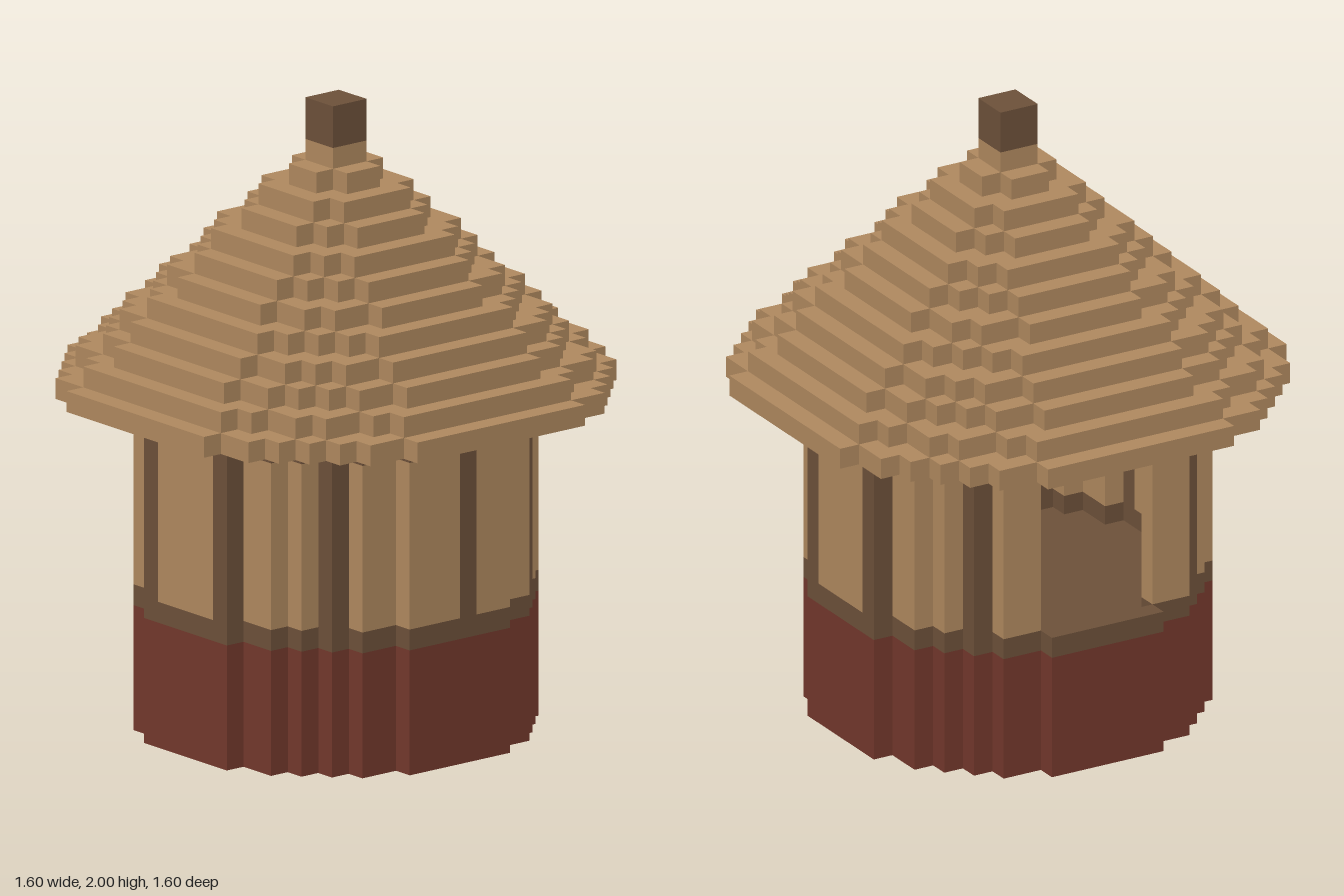
import * as THREE from 'three';
import { mergeGeometries } from 'three/addons/utils/BufferGeometryUtils.js';

const U = 1 / 15; // one block
const material = (name, color) => {
  const m = new THREE.MeshStandardMaterial({ color });
  m.name = name;
  return m;
};

// Stepped outline of a circle drawn in blocks
function discPoints(radius) {
  const quarter = [];
  for (let j = 0; j + 0.5 < radius; j++) {
    const half = Math.floor(Math.sqrt(radius * radius - (j + 0.5) ** 2) + 0.5);
    if (half < 1) break;
    quarter.push([half, j], [half, j + 1]);
  }
  quarter.push([0, quarter[quarter.length - 1][1]]);
  const points = [];
  for (const [sx, sy] of [[1, 1], [-1, 1], [-1, -1], [1, -1]]) {
    const part = quarter.map(([x, y]) => new THREE.Vector2(x * sx * U, y * sy * U));
    if (sx * sy < 0) part.reverse();
    points.push(...part);
  }
  // Drop repeated and collinear points
  const unique = points.filter((p, i) => p.distanceTo(points[(i + 1) % points.length]) > 1e-6);
  return unique.filter((p, i) => {
    const a = unique[(i + unique.length - 1) % unique.length];
    const b = unique[(i + 1) % unique.length];
    return Math.abs((p.x - a.x) * (b.y - p.y) - (p.y - a.y) * (b.x - p.x)) > 1e-8;
  });
}

// Stepped disc or ring, y and height in blocks
function disc(radius, inner, y, height) {
  const shape = new THREE.Shape(discPoints(radius));
  if (inner > 0.75) shape.holes.push(new THREE.Path(discPoints(inner).reverse()));
  return new THREE.ExtrudeGeometry(shape, { depth: height * U, bevelEnabled: false })
    .rotateX(-Math.PI / 2).translate(0, y * U, 0);
}

// Block columns of the round wall that pass a test
function wall(y, height, test) {
  const columns = [];
  for (let x = -8.5; x < 9; x++) {
    for (let z = -8.5; z < 9; z++) {
      const d = x * x + z * z;
      if (d <= 81 && d > 64 && test(x, z)) {
        columns.push(new THREE.BoxGeometry(U, height * U, U)
          .translate(x * U, (y + height / 2) * U, z * U));
      }
    }
  }
  return mergeGeometries(columns);
}

export function createModel() {
  const group = new THREE.Group();
  const tan = material('tan', 0xb0895f);
  const brown = material('brown', 0x6d513a);
  const red = material('brickRed', 0x73382c);
  const add = (name, geometry, mat) => {
    const mesh = new THREE.Mesh(geometry, mat);
    mesh.name = name;
    group.add(mesh);
  };

  // Solid base and floor
  add('base', disc(9, 0, 0, 6), red);
  add('floor', disc(8.5, 0, 6, 0.08), brown);

  // Rails below and above the panels
  add('sillRail', wall(6, 1, () => true), brown);
  add('topRail', wall(15, 1, () => true), brown);

  // Posts and panels, with an opening at the back
  const isPost = (x, z) => {
    const ax = Math.abs(x), az = Math.abs(z);
    return (ax === 8.5 && az === 2.5) || (ax === 5.5 && az === 6.5) || (x === 0.5 && z === 8.5);
  };
  add('posts', wall(7, 8, isPost), brown);
  add('wallPanels', wall(7, 8, (x, z) => !isPost(x, z) && z !== -8.5), tan);

  // Hollow stepped cone roof
  const layers = [];
  for (let i = 0; i < 12; i++) {
    const r = 12.5 * (1 - i / 12);
    layers.push(disc(r, i > 9 ? 0 : r - 2, 16 + i, 1));
  }
  add('roof', mergeGeometries(layers), tan);

  // Finial
  add('finial', new THREE.BoxGeometry(2 * U, 2 * U, 2 * U).translate(0, 29 * U, 0), brown);
  return group;
}
